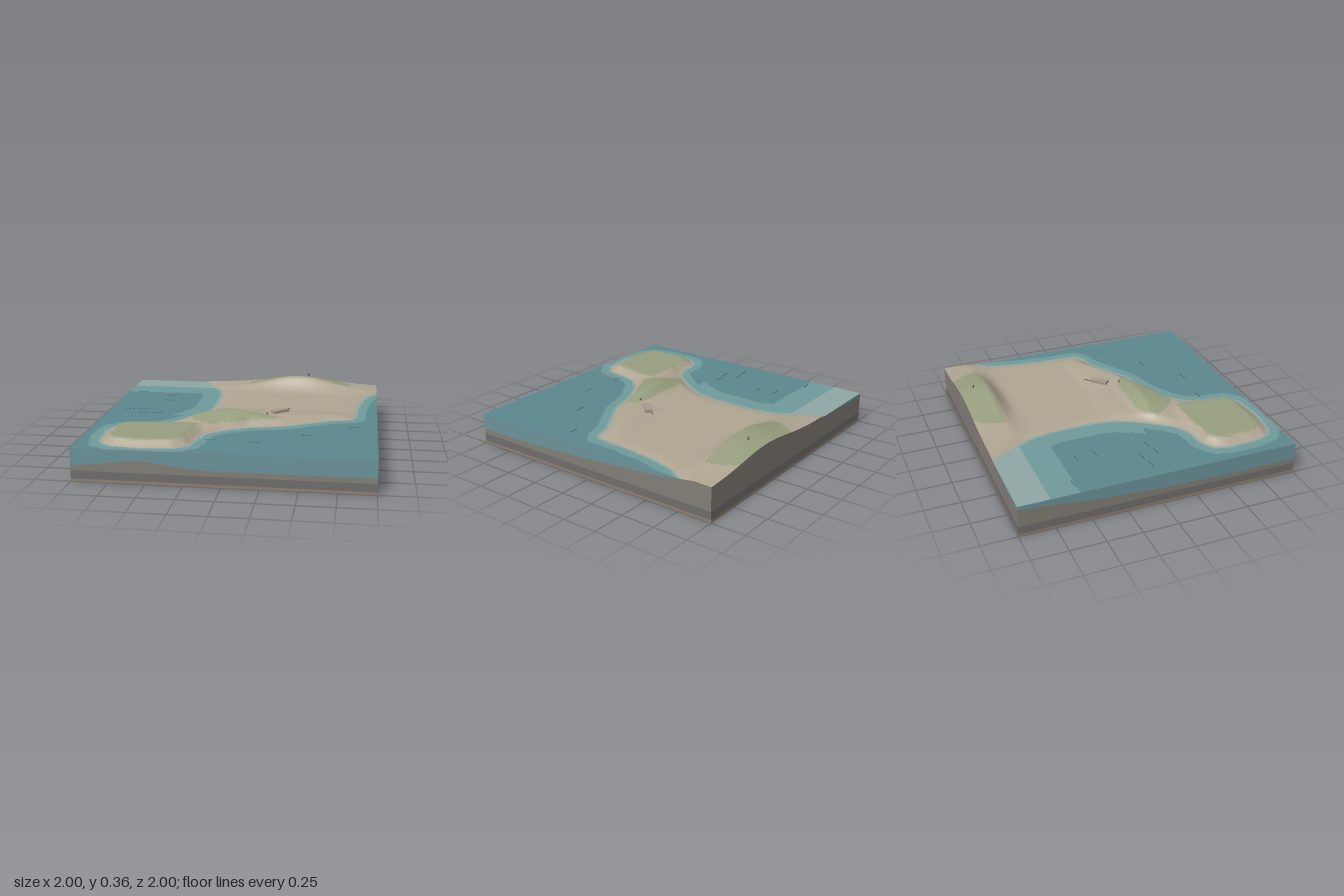
import * as THREE from 'three';

const SEA = 0.23, N = 100;
const smooth = THREE.MathUtils.smoothstep;
const gauss = (t, s) => Math.exp(-t * t / (2 * s * s));

// Piecewise linear lookup through [position, value] pairs
function table(pairs, t) {
  if (t <= pairs[0][0]) return pairs[0][1];
  for (let i = 1; i < pairs.length; i++) {
    const [a, va] = pairs[i - 1], [b, vb] = pairs[i];
    if (t <= b) return va + (vb - va) * (t - a) / (b - a);
  }
  return pairs[pairs.length - 1][1];
}

// Shoreline [x, z], running past the back and right edges of the block
const SHORE = [
  [-0.6, -1.4], [-0.43, -1], [-0.35, -0.85], [-0.26, -0.7], [-0.22, -0.5], [-0.215, -0.2], [-0.24, -0.05],
  [-0.31, 0.1], [-0.4, 0.23], [-0.5, 0.35], [-0.58, 0.39], [-0.75, 0.41], [-0.83, 0.46], [-0.855, 0.55],
  [-0.85, 0.75], [-0.82, 0.87], [-0.74, 0.92], [-0.55, 0.94], [-0.33, 0.92], [-0.24, 0.85], [-0.22, 0.7],
  [-0.18, 0.56], [-0.08, 0.46], [0.1, 0.36], [0.35, 0.29], [0.5, 0.2], [0.65, 0.11], [0.8, 0.065],
  [0.83, 0.03], [0.84, -0.2], [0.87, -0.45], [0.92, -0.65], [1, -0.77], [1.3, -1.1], [1.4, -1.4],
];

// Signed distance to the shore, positive on land
function inland(x, z) {
  let best = Infinity, inside = false;
  SHORE.forEach(([ax, az], i) => {
    const [bx, bz] = SHORE[(i + 1) % SHORE.length];
    const dx = bx - ax, dz = bz - az;
    const t = THREE.MathUtils.clamp(((x - ax) * dx + (z - az) * dz) / (dx * dx + dz * dz), 0, 1);
    best = Math.min(best, Math.hypot(x - ax - t * dx, z - az - t * dz));
    if ((az > z) !== (bz > z) && x < ax + dx * (z - az) / dz) inside = !inside;
  });
  return inside ? best : -best;
}

const BACK_HILL = [[-1, 0.57], [-0.9, 0.82], [-0.8, 1], [-0.77, 0.78], [-0.74, 0.45], [-0.69, 0.08], [-0.64, 0]];
const RIDGE = [[-0.12, 0], [0, 0.17], [0.1, 0.25], [0.16, 0.5], [0.19, 0.75], [0.23, 1], [0.3, 0.82], [0.45, 0.4], [0.6, 0.2]];
const SPIT = [[-0.1, 0], [0, 0.75], [0.08, 1], [0.3, 1]];

// Ground height: flat beach, back hill, coastal ridge, low spit and headland
function ground(x, z) {
  const d = inland(x, z);
  if (d < 0) return SEA + 0.5 * d;
  const hill = 0.11 * gauss(x - 0.37, 0.27) * table(BACK_HILL, z);
  const ridge = 0.09 * gauss(x + 0.05, x < -0.05 ? 0.2 : 0.25) * table(RIDGE, z);
  const spit = 0.028 * smooth(x, 0.1, 0.3) * (1 - smooth(x, 0.6, 0.85)) * table(SPIT, z);
  const headland = 0.036 * (1 - smooth(x, -0.28, -0.12)) * smooth(z, 0.36, 0.46);
  const rise = 0.01 + Math.max(hill, ridge, spit, headland);
  return SEA + 0.003 * smooth(d, 0, 0.01) + (rise - 0.003) * smooth(d, 0, 0.075);
}

// Seabed height along the block's edges
function seabed(x, z) {
  if (z < -0.999) return Math.min(SEA, 0.2 + 0.03 * (x + 1) / 0.57);
  if (x > 0.999) return table([[-0.77, SEA], [-0.6, 0.2], [0, 0.15], [0.5, 0.12], [1, 0.11]], z);
  if (x < -0.999) return table([[-1, 0.2], [-0.8, 0.19], [-0.5, 0.15], [0, 0.12], [0.4, 0.11]], z);
  return 0.11 + 0.045 * gauss(x + 0.55, 0.2);
}

const material = (color) => new THREE.MeshStandardMaterial({ color });

function addMesh(group, name, geometry, color) {
  const mesh = new THREE.Mesh(geometry, material(color));
  mesh.name = name;
  group.add(mesh);
  return mesh;
}

// Square grid surface, split into one mesh per zone; zone() returns a name or null
function zonedSurface(group, height, zone, colors) {
  const g = new THREE.PlaneGeometry(2, 2, N, N).rotateX(-Math.PI / 2);
  const p = g.attributes.position;
  for (let i = 0; i < p.count; i++) p.setY(i, height(p.getX(i), p.getZ(i)));
  g.computeVertexNormals();
  const sets = {};
  for (let i = 0; i < g.index.count; i += 3) {
    const tri = [0, 1, 2].map((k) => g.index.getX(i + k));
    const mid = (f) => tri.reduce((s, v) => s + p[f](v), 0) / 3;
    const key = zone(mid('getX'), mid('getZ'));
    if (key) (sets[key] ??= []).push(...tri);
  }
  for (const key in sets) {
    const part = new THREE.BufferGeometry();
    part.setAttribute('position', p);
    part.setAttribute('normal', g.attributes.normal);
    part.setIndex(sets[key]);
    addMesh(group, key, part, colors[key]);
  }
}

function landZone(x, z) {
  const d = inland(x, z);
  if (d < -0.05) return null;
  const h = ground(x, z);
  const onHeadland = z > 0.44 && x < -0.25 && d > 0.06;
  const onRidge = z > 0.15 && z < 0.46 && x < 0.3 && h > 0.272;
  const onHill = z < -0.79 && h > 0.272;
  return onHeadland || onRidge || onHill ? 'grass' : 'sand';
}

function waterZone(x, z) {
  const d = -inland(x, z);
  if (d < -0.06) return null;
  const bay = x < 0 && z < 0.1;
  if ((x < -0.3 && z < -0.78) || d < 0.02) return 'paleWater';
  if ((x < -0.3 && z < -0.58) || d < (bay ? 0.16 : 0.085)) return 'shallowWater';
  return 'deepWater';
}

// Band wrapped round the four sides, between two heights that may vary
function sideBand(group, name, low, high, color) {
  const corners = [[-1, 1], [1, 1], [1, -1], [-1, -1]], pos = [];
  corners.forEach(([ax, az], c) => {
    const [bx, bz] = corners[(c + 1) % 4];
    const at = (t) => [ax + (bx - ax) * t, az + (bz - az) * t];
    for (let i = 0; i < N; i++) {
      const [x0, z0] = at(i / N), [x1, z1] = at((i + 1) / N);
      const l0 = low(x0, z0), l1 = low(x1, z1), h0 = high(x0, z0), h1 = high(x1, z1);
      if (h0 - l0 < 1e-4 && h1 - l1 < 1e-4) continue;
      pos.push(x0, l0, z0, x1, l1, z1, x1, h1, z1, x0, l0, z0, x1, h1, z1, x0, h0, z0);
    }
  });
  const g = new THREE.BufferGeometry();
  g.setAttribute('position', new THREE.Float32BufferAttribute(pos, 3));
  g.computeVertexNormals();
  addMesh(group, name, g, color);
}

export function createModel() {
  const model = new THREE.Group();

  // Terrain and sea
  zonedSurface(model, ground, landZone, { sand: 0xb0a592, grass: 0x969e7e });
  zonedSurface(model, () => SEA, waterZone,
    { deepWater: 0x5c888f, shallowWater: 0x6f9a9b, paleWater: 0x8fa7a5 });

  // Layers on the sides and the underside
  const level = (y) => () => y;
  const soilTop = (x, z) => Math.max(seabed(x, z), inland(x, z) > 0 ? ground(x, z) : 0);
  sideBand(model, 'footBand', level(0), level(0.02), 0x8f7f70);
  sideBand(model, 'rockLayer', level(0.02), level(0.075), 0x6f6e6c);
  sideBand(model, 'soilLayer', level(0.075), soilTop, 0x827d76);
  sideBand(model, 'waterSide', soilTop, (x, z) => Math.max(SEA, soilTop(x, z)), 0x6b929a);
  addMesh(model, 'underside', new THREE.PlaneGeometry(2, 2).rotateX(Math.PI / 2), 0x4d463f);

  // Small hut on the beach with a walkway
  const hut = new THREE.Group();
  hut.name = 'beachHut';
  addMesh(hut, 'hutBody', new THREE.BoxGeometry(0.13, 0.025, 0.05), 0xa39a8b);
  addMesh(hut, 'walkway', new THREE.BoxGeometry(0.06, 0.004, 0.004), 0x5a544c).position.set(0.09, 0, -0.02);
  hut.position.set(0.29, ground(0.29, 0.05) + 0.008, 0.05);
  hut.rotation.y = Math.PI / 4;
  model.add(hut);

  // Bare forked shrubs on the ridge and the hill
  for (const [x, z] of [[0.21, 0.18], [0.44, -0.9]]) {
    for (const side of [-1, 0, 1]) {
      const twig = addMesh(model, 'shrubTwig', new THREE.ConeGeometry(0.003, 0.035, 4), 0x4c4a40);
      twig.position.set(x + side * 0.006, ground(x, z) + 0.014, z + side * 0.006);
      twig.rotation.set(side * 0.5, 0, -side * 0.5);
    }
  }

  // Dashed ripples on the water
  const ripples = [[-0.89, -0.59], [-0.62, -0.47], [-0.61, -0.33], [-0.86, -0.03], [-0.75, -0.05],
    [-0.73, 0.065], [-0.63, 0.045], [-0.12, 0.69], [0.19, 0.715], [0.52, 0.5], [0.84, 0.27]];
  for (const [x, z] of ripples) {
    for (const k of [-1, 0, 1]) {
      const dash = addMesh(model, 'ripple', new THREE.BoxGeometry(0.018, 0.003, 0.006), 0x47656a);
      dash.position.set(x + k * 0.027, SEA + 0.001, z - k * 0.002);
    }
  }
  return model;
}
